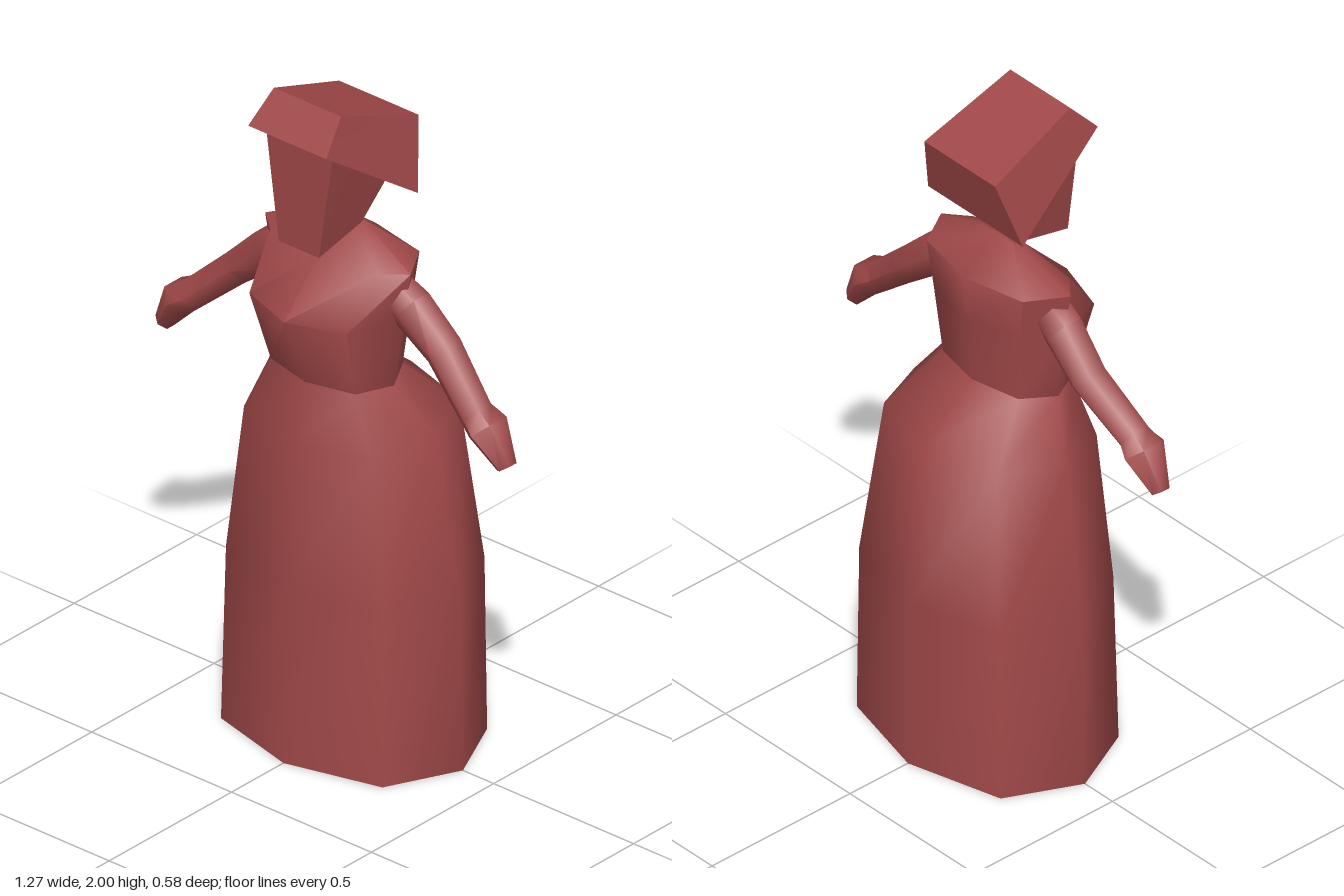
import * as THREE from 'three';
import { toCreasedNormals } from 'three/addons/utils/BufferGeometryUtils.js';

const material = new THREE.MeshStandardMaterial({ color: 0xa04848, side: THREE.DoubleSide });

// Skin a list of equal-sized rings; each ring turns right-handed about the path.
function loft(name, rings, { capStart = true, capEnd = true, crease = 1.1 } = {}) {
  const n = rings[0].length;
  const points = rings.flat();
  const index = [];
  for (let i = 0; i < rings.length - 1; i++) {
    for (let j = 0; j < n; j++) {
      const k = (j + 1) % n;
      const a = i * n + j, b = i * n + k, c = b + n, d = a + n;
      index.push(a, b, c, a, c, d);
    }
  }
  const cap = (row, flip) => {
    const centre = new THREE.Vector3();
    rings[row].forEach((p) => centre.addScaledVector(p, 1 / n));
    const m = points.push(centre) - 1;
    for (let j = 0; j < n; j++) {
      const a = row * n + j, b = row * n + ((j + 1) % n);
      index.push(m, flip ? b : a, flip ? a : b);
    }
  };
  if (capStart) cap(0, true);
  if (capEnd) cap(rings.length - 1, false);
  const geometry = new THREE.BufferGeometry().setFromPoints(points);
  geometry.setIndex(index);
  const mesh = new THREE.Mesh(toCreasedNormals(geometry, crease), material);
  mesh.name = name;
  return mesh;
}

// Eight-sided body ring: half width, side (y, z), front (y, z), back (y, z).
function bodyRing([w, sy, sz, fy, fz, by, bz]) {
  const k = 0.74;
  const mix = THREE.MathUtils.lerp;
  const p = (x, y, z) => new THREE.Vector3(x, y, z);
  const fd = [mix(sy, fy, k), mix(sz, fz, k)];
  const bd = [mix(sy, by, k), mix(sz, bz, k)];
  return [
    p(0, fy, fz), p(w * k, ...fd), p(w, sy, sz), p(w * k, ...bd),
    p(0, by, bz), p(-w * k, ...bd), p(-w, sy, sz), p(-w * k, ...fd),
  ];
}

// Symmetrical block from a side profile of [half width, y, z].
function block(name, profile) {
  const side = (s) => profile.map(([w, y, z]) => new THREE.Vector3(s * w, y, z));
  return loft(name, [side(-1), side(1)], { crease: 0.95 });
}

// Six-sided arm with a flattened hand; stations are [x, y, z, thickness, width].
function arm(name, s) {
  const stations = [
    [0.2, 1.43, 0.055, 0.055, 0.06],
    [0.25, 1.4, 0.05, 0.06, 0.06],
    [0.36, 1.305, 0.042, 0.05, 0.058],
    [0.505, 1.175, 0.075, 0.045, 0.052],
    [0.545, 1.15, 0.075, 0.05, 0.07],
    [0.612, 1.05, 0.073, 0.026, 0.03],
  ];
  const centres = stations.map(([x, y, z]) => new THREE.Vector3(s * x, y, z));
  const rings = stations.map(([, , , t, w], i) => {
    const dir = centres[Math.min(i + 1, centres.length - 1)].clone()
      .sub(centres[Math.max(i - 1, 0)]).setZ(0).normalize();
    const u = new THREE.Vector3(0, 0, 1);
    const v = dir.clone().cross(u);
    return Array.from({ length: 6 }, (_, j) => {
      const a = (j * Math.PI) / 3;
      return centres[i].clone()
        .addScaledVector(u, Math.cos(a) * w)
        .addScaledVector(v, Math.sin(a) * t * 1.1);
    });
  });
  return loft(name, rings);
}

export function createModel() {
  const figure = new THREE.Group();
  figure.name = 'figure';

  // Long skirt, open at the hem
  const skirt = [
    [0.39, 0, 0, 0, 0.288, 0, -0.29],
    [0.38, 0.53, 0, 0.53, 0.272, 0.53, -0.287],
    [0.307, 1.0, 0.01, 0.97, 0.252, 1.02, -0.235],
    [0.205, 1.15, 0.07, 1.14, 0.2, 1.16, -0.06],
  ];
  figure.add(loft('skirt', skirt.map(bodyRing), { capStart: false, capEnd: false }));

  // Bodice from waist over the bust to the neck
  const bodice = [
    [0.205, 1.15, 0.07, 1.14, 0.2, 1.16, -0.06],
    [0.235, 1.37, 0.065, 1.36, 0.286, 1.36, -0.075],
    [0.26, 1.51, 0.065, 1.51, 0.14, 1.51, -0.088],
    [0.085, 1.585, 0.05, 1.59, 0.07, 1.6, 0.03],
  ];
  figure.add(loft('bodice', bodice.map(bodyRing), { capStart: false }));

  figure.add(arm('leftArm', 1), arm('rightArm', -1));

  // Tapered head, its crown hidden in the bonnet
  figure.add(block('head', [
    [0.09, 1.7, -0.025], [0.11, 1.8, -0.02], [0.118, 1.88, 0.222],
    [0.072, 1.56, 0.225], [0.072, 1.598, 0.05],
  ]));

  // Bonnet: nape, crown back, crown front, brim
  figure.add(block('bonnet', [
    [0.19, 1.69, -0.045], [0.142, 1.89, -0.102], [0.12, 2.0, 0.19], [0.14, 1.91, 0.272],
  ]));

  return figure;
}
